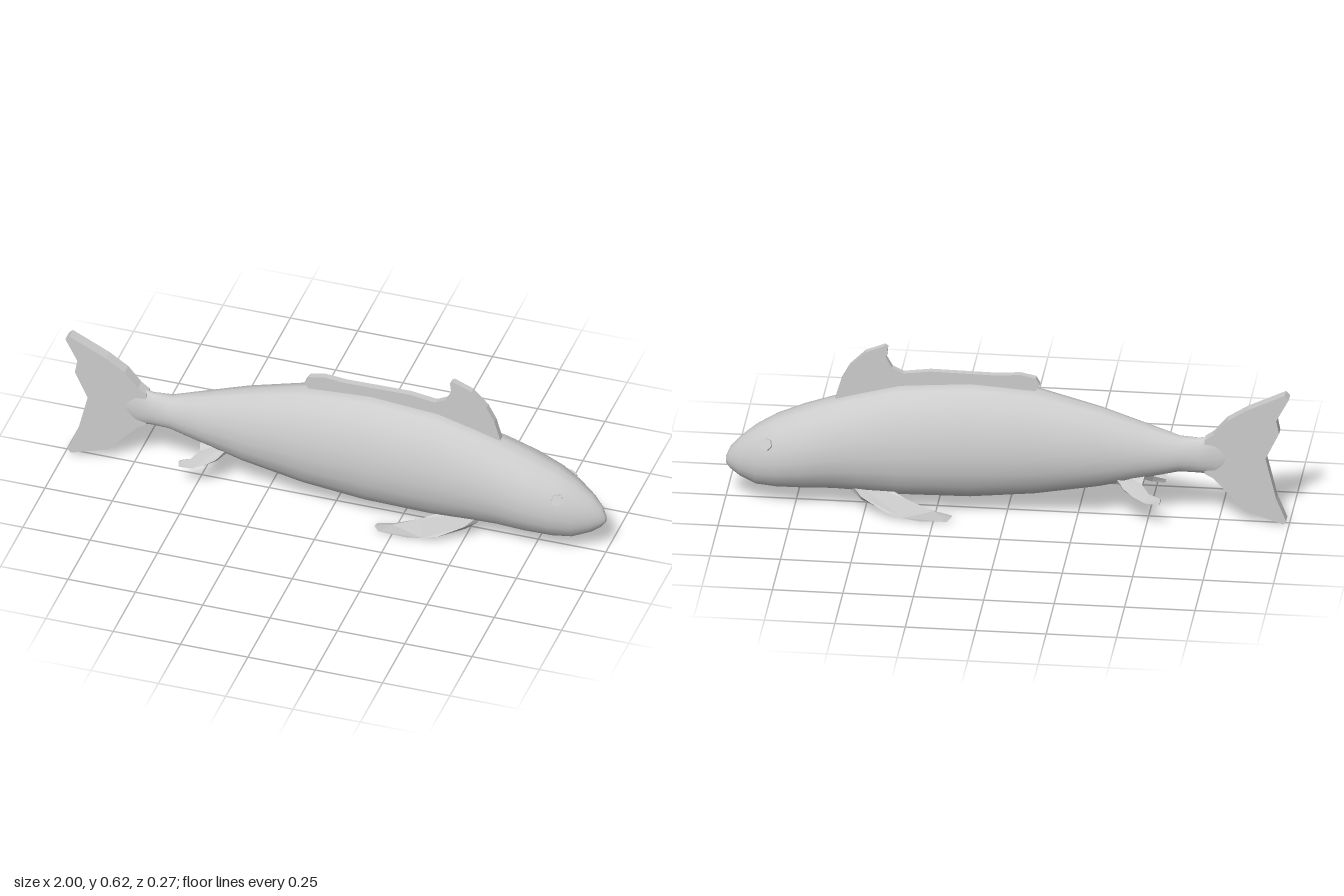
import * as THREE from 'three';

const grey = new THREE.MeshStandardMaterial({ color: 0xcccccc });

function addMesh(parent, name, geometry) {
  const mesh = new THREE.Mesh(geometry, grey);
  mesh.name = name;
  parent.add(mesh);
  return mesh;
}

// Flat plate from an outline, centred on its thickness
function plate(outline, thickness) {
  const shape = new THREE.Shape(outline.map(([x, y]) => new THREE.Vector2(x, y)));
  const geo = new THREE.ExtrudeGeometry(shape, { depth: thickness, bevelEnabled: false });
  return geo.translate(0, 0, -thickness / 2);
}

// Smooth body skin through oval sections: [x, bottom, top, half width]
function bodyGeometry(sections, sides) {
  const pos = [], index = [];
  for (const [x, bottom, top, w] of sections) {
    const mid = (bottom + top) / 2, h = (top - bottom) / 2;
    for (let j = 0; j < sides; j++) {
      const a = (j / sides) * Math.PI * 2;
      // widest line sits slightly below the middle
      pos.push(x, mid + h * (Math.cos(a) - 0.1 * Math.sin(a) ** 2), w * Math.sin(a));
    }
  }
  for (let i = 0; i < sections.length - 1; i++) {
    for (let j = 0; j < sides; j++) {
      const a = i * sides + j, b = i * sides + (j + 1) % sides;
      index.push(a, b, a + sides, b, b + sides, a + sides);
    }
  }
  // end caps
  const last = (sections.length - 1) * sides;
  for (let j = 1; j < sides - 1; j++) {
    index.push(0, j + 1, j, last, last + j, last + j + 1);
  }
  const geo = new THREE.BufferGeometry();
  geo.setAttribute('position', new THREE.Float32BufferAttribute(pos, 3));
  geo.setIndex(index);
  geo.computeVertexNormals();
  return geo;
}

// Paired fin: outline is (x, span), bent round an arc about the x axis
function curvedFin(side, { outline, thickness, radius, start, y, z }) {
  const geo = plate(outline, thickness);
  const p = geo.attributes.position;
  for (let i = 0; i < p.count; i++) {
    const a = start + p.getY(i) / radius;
    const r = radius - side * p.getZ(i);
    p.setXYZ(i, p.getX(i), y + r * Math.cos(a), side * (z + r * Math.sin(a)));
  }
  geo.computeVertexNormals();
  return geo;
}

export function createModel() {
  const fish = new THREE.Group();
  fish.name = 'fish';

  addMesh(fish, 'body', bodyGeometry([
    [-0.82, 0.22, 0.30, 0.015],
    [-0.74, 0.18, 0.335, 0.026],
    [-0.68, 0.187, 0.32, 0.034],
    [-0.61, 0.19, 0.323, 0.048],
    [-0.48, 0.16, 0.367, 0.076],
    [-0.33, 0.122, 0.418, 0.1],
    [-0.1, 0.083, 0.48, 0.13],
    [0.13, 0.059, 0.495, 0.136],
    [0.38, 0.055, 0.475, 0.136],
    [0.52, 0.063, 0.438, 0.13],
    [0.62, 0.066, 0.408, 0.126],
    [0.72, 0.062, 0.373, 0.124],
    [0.82, 0.06, 0.33, 0.109],
    [0.89, 0.064, 0.288, 0.083],
    [0.95, 0.09, 0.238, 0.052],
    [0.985, 0.115, 0.197, 0.027],
    [1.0, 0.135, 0.16, 0.01],
  ], 20));

  addMesh(fish, 'tailFin', plate([
    [-0.7, 0.32], [-0.73, 0.342], [-0.78, 0.4], [-0.85, 0.445], [-0.985, 0.51], [-1, 0.495],
    [-0.955, 0.41], [-0.965, 0.36], [-0.917, 0.26], [-0.955, 0.105], [-0.99, 0.02],
    [-0.98, 0.007], [-0.837, 0.055], [-0.757, 0.147], [-0.73, 0.175], [-0.7, 0.19],
  ], 0.042));

  addMesh(fish, 'dorsalFin', plate([
    [-0.1, 0.475], [-0.115, 0.5], [-0.1, 0.525], [-0.045, 0.537], [0.035, 0.53], [0.275, 0.533],
    [0.37, 0.52], [0.41, 0.54], [0.43, 0.575], [0.425, 0.615], [0.436, 0.623], [0.505, 0.595],
    [0.56, 0.54], [0.59, 0.485], [0.612, 0.41], [0.4, 0.43], [0.1, 0.46],
  ], 0.024));

  const pectoral = {
    outline: [
      [0.54, -0.025], [0.545, 0], [0.51, 0.04], [0.42, 0.085], [0.36, 0.1], [0.3, 0.108],
      [0.2, 0.105], [0.185, 0.09], [0.25, 0.074], [0.35, 0.04], [0.42, 0], [0.43, -0.025],
    ],
    thickness: 0.028, radius: 0.085, start: 0.3, y: 0.005, z: 0.037,
  };
  const pelvic = {
    outline: [
      [-0.39, -0.02], [-0.39, 0.01], [-0.42, 0.05], [-0.46, 0.075], [-0.5, 0.092], [-0.55, 0.095],
      [-0.553, 0.075], [-0.51, 0.06], [-0.485, 0.03], [-0.49, 0], [-0.48, -0.02],
    ],
    thickness: 0.02, radius: 0.12, start: 0.5, y: 0.065, z: -0.017,
  };

  for (const [label, side] of [['left', 1], ['right', -1]]) {
    // model faces the front with its left at +x, so the sides here are near and far
    const suffix = label === 'left' ? 'Front' : 'Back';
    addMesh(fish, 'pectoralFin' + suffix, curvedFin(side, pectoral));
    addMesh(fish, 'pelvicFin' + suffix, curvedFin(side, pelvic));

    // six-sided eye set flush with the skin
    const eye = addMesh(fish, 'eye' + suffix, new THREE.CylinderGeometry(0.022, 0.022, 0.02, 6).toNonIndexed());
    eye.geometry.computeVertexNormals();
    eye.position.set(0.845, 0.25, side * 0.081);
    const normal = new THREE.Vector3(0.35, 0.4, side * 0.85).normalize();
    eye.quaternion.setFromUnitVectors(new THREE.Vector3(0, 1, 0), normal);
  }

  return fish;
}
